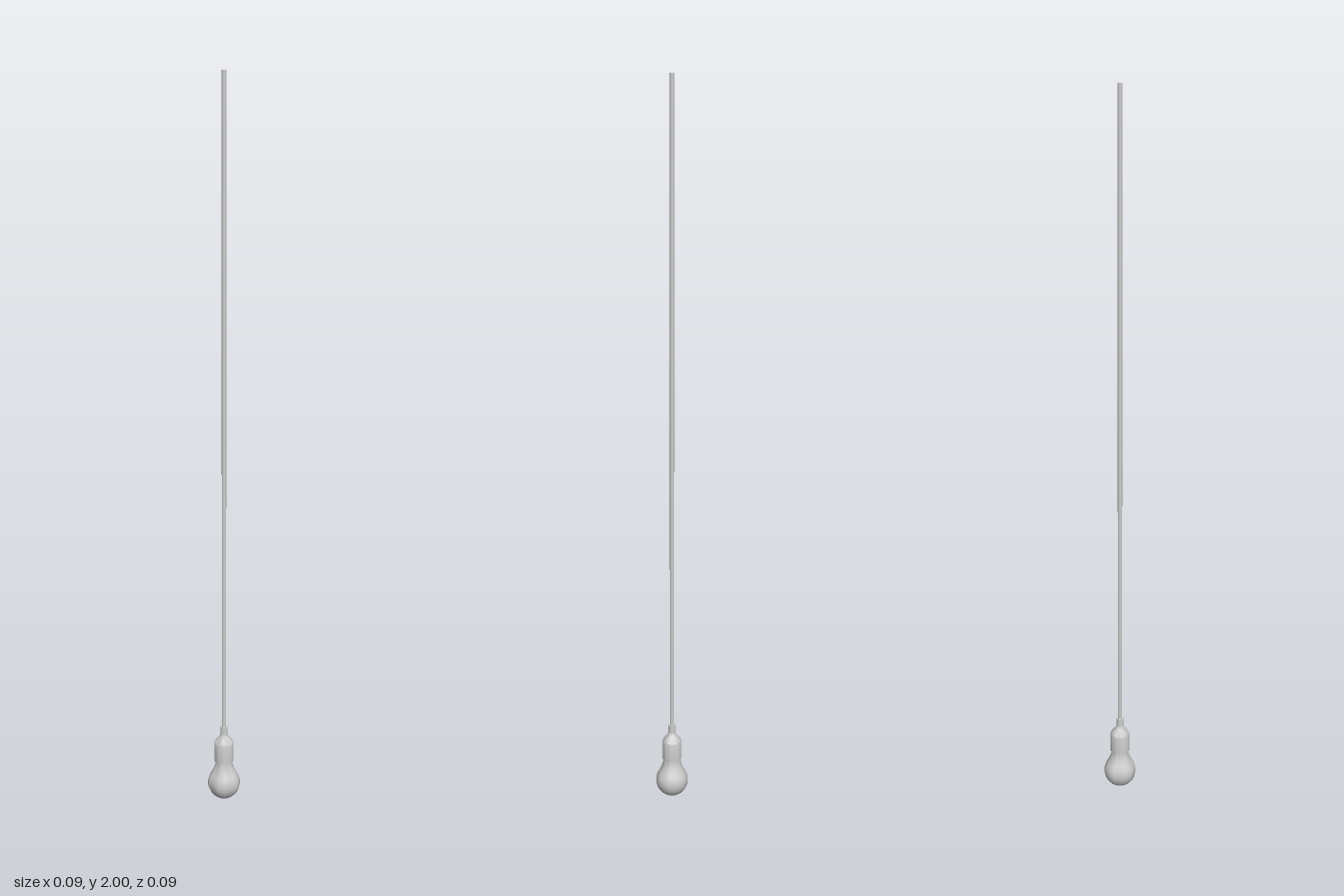
import * as THREE from 'three';
import { toCreasedNormals } from 'three/addons/utils/BufferGeometryUtils.js';

const material = new THREE.MeshStandardMaterial({ color: 0xcccccc });

// Turned part from a [radius, height] profile, listed bottom to top
function turned(name, profile, sides, crease) {
  const points = profile.map(([r, y]) => new THREE.Vector2(r, y));
  const lathe = new THREE.LatheGeometry(points, sides, Math.PI / sides);
  const mesh = new THREE.Mesh(toCreasedNormals(lathe, crease), material);
  mesh.name = name;
  return mesh;
}

export function createModel() {
  const group = new THREE.Group();
  group.name = 'pendantLamp';

  // Glass bulb: round globe easing into a short neck that enters the socket
  const radius = 0.045;
  const globe = [];
  for (let i = 0; i <= 9; i++) {
    const a = (i / 9) * Math.PI * 0.7;
    globe.push([radius * Math.sin(a), 0.047 - 0.047 * Math.cos(a)]);
  }
  globe.push([0.031, 0.085], [0.0265, 0.096], [0.0235, 0.107], [0.0225, 0.125]);
  group.add(turned('bulb', globe, 16, 1.0));

  // Socket: straight sleeve with a tight shoulder and a concave taper to the cord grip
  group.add(turned('socket', [
    [0, 0.115], [0.027, 0.115], [0.027, 0.166], [0.0255, 0.172],
    [0.022, 0.178], [0.017, 0.183], [0.0125, 0.189], [0.0105, 0.196], [0, 0.196],
  ], 24, 0.7));

  // Cord grip: small straight sleeve around the cord
  group.add(turned('cordGrip', [
    [0, 0.19], [0.0098, 0.19], [0.0095, 0.219], [0, 0.219],
  ], 24, 0.7));

  // Cord hanging from the ceiling
  const cord = new THREE.Mesh(new THREE.CylinderGeometry(0.006, 0.006, 1.79, 24), material);
  cord.name = 'cord';
  cord.position.y = 1.105;
  group.add(cord);

  return group;
}
